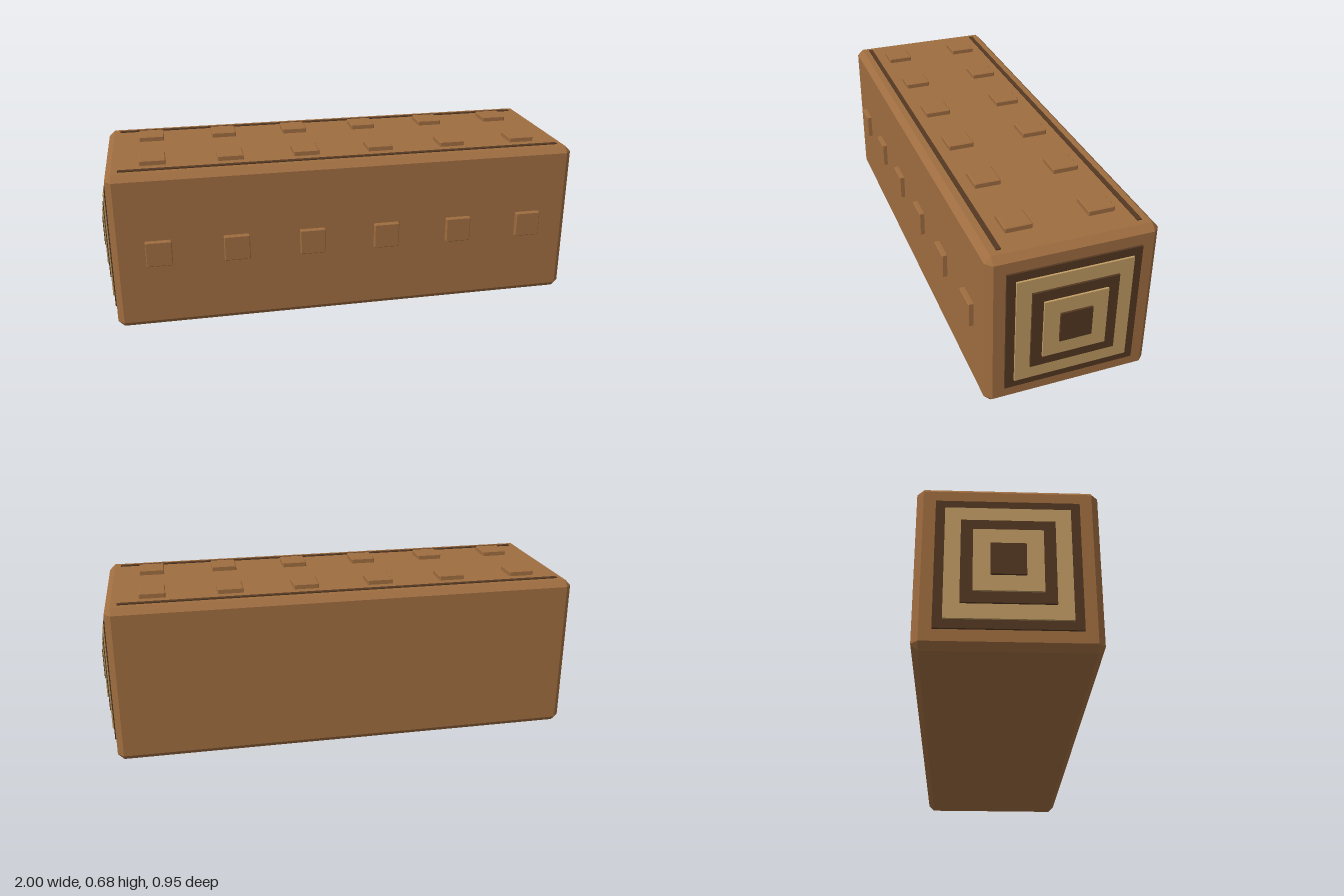
import * as THREE from 'three';
import { ConvexGeometry } from 'three/addons/geometries/ConvexGeometry.js';

const LENGTH = 1.92, SIDE = 0.655, MID = SIDE / 2;

// Box with every edge cut at 45 degrees by c
function chamferBox(w, h, d, c) {
  const points = [];
  for (const x of [-1, 1]) for (const y of [-1, 1]) for (const z of [-1, 1]) {
    const a = x * w / 2, b = y * h / 2, e = z * d / 2;
    points.push(
      new THREE.Vector3(a, b - y * c, e - z * c),
      new THREE.Vector3(a - x * c, b, e - z * c),
      new THREE.Vector3(a - x * c, b - y * c, e));
  }
  return new ConvexGeometry(points);
}

export function createModel() {
  const bark = new THREE.MeshStandardMaterial({ color: 0x9f6d40 });
  bark.name = 'brown bark';
  const dark = new THREE.MeshStandardMaterial({ color: 0x543822 });
  dark.name = 'dark brown';
  const pale = new THREE.MeshStandardMaterial({ color: 0xc19c63 });
  pale.name = 'pale wood';

  const model = new THREE.Group();
  model.name = 'squareLog';
  const log = new THREE.Group();
  log.name = 'log';
  log.rotation.y = 0.16; // lies at a slight angle
  model.add(log);

  const add = (name, geometry, material, x, y, z) => {
    const mesh = new THREE.Mesh(geometry, material);
    mesh.name = name;
    mesh.position.set(x, y, z);
    log.add(mesh);
    return mesh;
  };

  // Trunk
  add('trunk', chamferBox(LENGTH, SIDE, SIDE, 0.025), bark, 0, MID, 0);

  // Square growth rings, stepping outward on both ends
  const step = 0.008;
  [0.515, 0.447, 0.333, 0.247, 0.125].forEach((size, i) => {
    const ring = new THREE.BoxGeometry(step, size, size);
    for (const side of [-1, 1]) {
      add('growthRing', ring, i % 2 ? pale : dark, side * (LENGTH / 2 + (i + 0.5) * step), MID, 0);
    }
  });

  // Bark studs: two rows on top, one row on the front
  const topStud = chamferBox(0.104, 0.024, 0.104, 0.003);
  const frontStud = chamferBox(0.104, 0.104, 0.024, 0.003);
  for (let i = 0; i < 6; i++) {
    const x = (i - 2.5) * 0.31;
    for (const z of [-0.16, 0.16]) add('topStud', topStud, bark, x, SIDE + 0.008, z);
    add('frontStud', frontStud, bark, x, MID, MID + 0.008);
  }

  // Dark grooves along the top edges
  const groove = new THREE.BoxGeometry(1.82, 0.006, 0.018);
  for (const z of [-0.266, 0.266]) add('topGroove', groove, dark, 0, SIDE + 0.001, z);

  return model;
}
